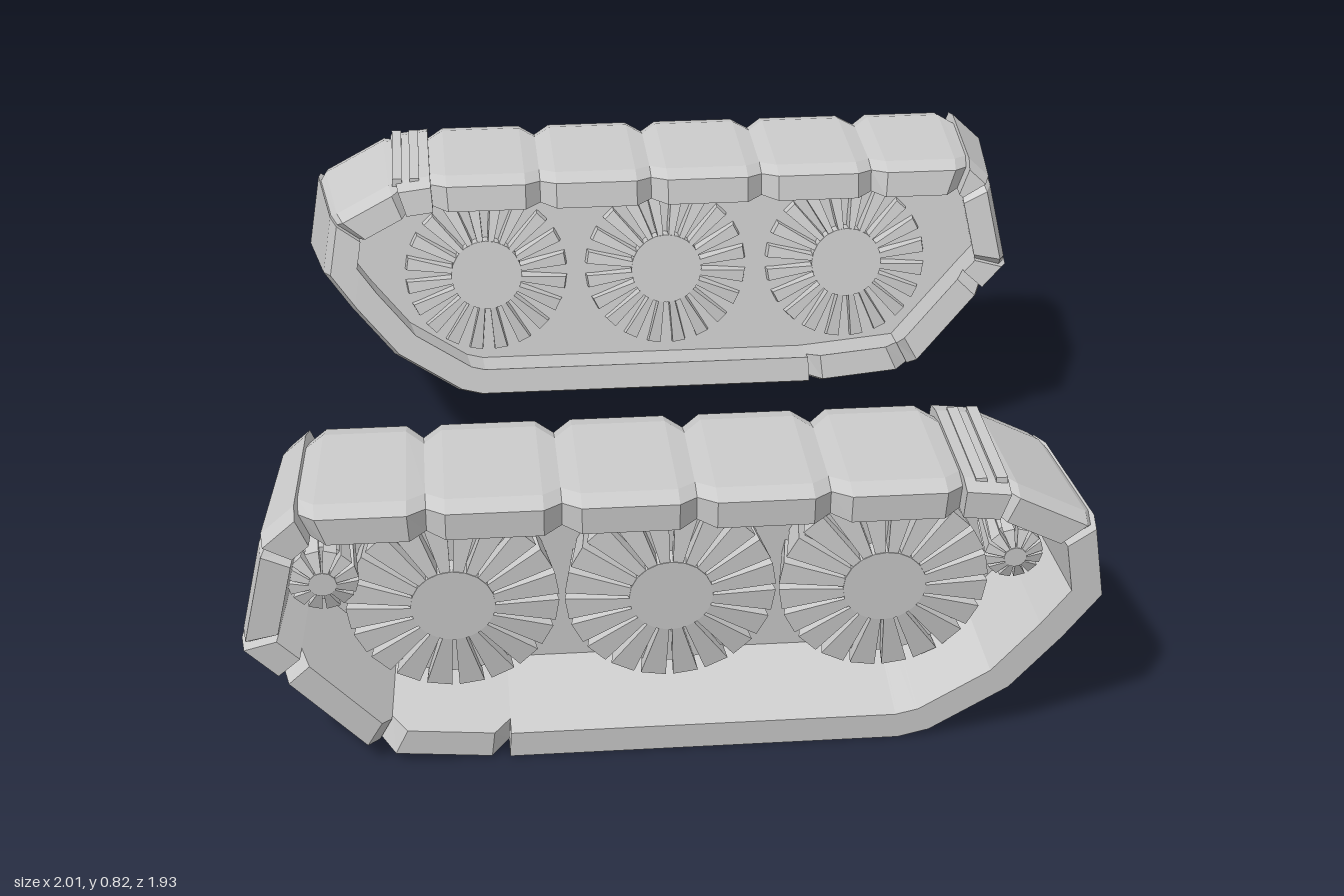
import * as THREE from 'three';

const mat = new THREE.MeshStandardMaterial({ color: 0xcccccc, flatShading: true, side: THREE.DoubleSide });
const HALF = 0.212, THICK = 0.066, BEVEL = 0.012, FLARE = 0.13, MID = 0.3415;

// Track outline on the outer face: x, y, and the corner cut of the plate starting here
const outline = [
  [-1.0, 0.33, 0.028], [-0.942, 0.602, 0], [-0.87, 0.669, 0.045], [-0.595, 0.669, 0.045], [-0.305, 0.669, 0.045],
  [-0.015, 0.669, 0.045], [0.275, 0.669, 0.045], [0.562, 0.669, 0], [0.66, 0.657, 0.025], [0.855, 0.555, 0],
  [0.885, 0.375, 0], [0.806, 0.262, 0], [0.695, 0.125, 0], [0.52, 0.012, 0], [0.45, -0.006, 0],
  [0.17, -0.006, 0], [-0.12, -0.006, 0], [-0.43, -0.006, 0.045], [-0.725, 0.022, 0.035], [-0.93, 0.255, 0],
].map(([x, y, notch]) => ({ p: new THREE.Vector2(x, y - MID), notch }));

const at = (i) => outline[(i + outline.length) % outline.length].p;

// Inward normal of one outline edge, and the mitred offset direction of one corner
function edgeNormal(i) {
  const d = at(i + 1).clone().sub(at(i)).normalize();
  return new THREE.Vector2(d.y, -d.x);
}
function mitre(i) {
  const a = edgeNormal(i - 1), b = edgeNormal(i);
  return a.clone().add(b).divideScalar(1 + a.dot(b));
}
const inset = (i, depth) => at(i).clone().addScaledVector(mitre(i), depth);

function addMesh(parent, geometry, name) {
  const m = new THREE.Mesh(geometry, mat);
  m.name = name;
  parent.add(m);
  return m;
}

// Surface through a row of equal cross-section rings, with both ends closed
function loft(rings) {
  const n = rings[0].length, pos = rings.flat(2), idx = [];
  for (let r = 0; r < rings.length - 1; r++)
    for (let k = 0; k < n; k++) {
      const a = r * n + k, b = r * n + (k + 1) % n;
      idx.push(a, b, a + n, b, b + n, a + n);
    }
  const e = (rings.length - 1) * n;
  for (let k = 1; k < n - 1; k++) idx.push(0, k + 1, k, e, e + k, e + k + 1);
  const g = new THREE.BufferGeometry();
  g.setAttribute('position', new THREE.Float32BufferAttribute(pos, 3));
  g.setIndex(idx);
  const flat = g.toNonIndexed();
  flat.computeVertexNormals();
  return flat;
}

// One plate: bevelled across its width, corners cut back at the joints when notched
function plateGeometry(i, notch) {
  const cut = notch ? notch * 0.9 / at(i).distanceTo(at(i + 1)) : 0.1;
  const rings = [0, cut, 1 - cut, 1].map((t) => {
    const end = t === 0 || t === 1;
    const w = end ? HALF - notch : HALF, drop = end ? notch * 0.2 : 0;
    const section = [
      [-w, THICK], [w, THICK], [w, drop],
      [w - 0.05, drop - BEVEL], [-w + 0.05, drop - BEVEL], [-w, drop],
    ];
    return section.map(([z, d]) => {
      const depth = d + FLARE * (HALF - z);
      const q = inset(i, depth).lerp(inset(i + 1, depth), t);
      return [q.x, q.y, z];
    });
  });
  return loft(rings);
}

// Wheel of radial fins on a drum, narrowing toward the inner side
function wheel(r, fins, zIn, zOut, name) {
  const g = new THREE.Group();
  g.name = name;
  const len = zOut - zIn, mid = (zIn + zOut) / 2;
  const drum = new THREE.CylinderGeometry(r * 0.92, r * 0.8, len * 0.5, fins * 2);
  addMesh(g, drum.rotateX(Math.PI / 2).translate(0, 0, mid), 'wheelDrum');
  const hub = new THREE.CylinderGeometry(r * 0.4, r * 0.4, len, fins);
  addMesh(g, hub.rotateX(Math.PI / 2).translate(0, 0, mid), 'wheelHub');
  const fin = new THREE.BoxGeometry(1, 1, 1), p = fin.attributes.position;
  for (let k = 0; k < p.count; k++) {
    const rim = p.getX(k) > 0, outer = p.getZ(k) > 0;
    const radius = rim ? r * (outer ? 1 : 0.9) : r * 0.32;
    const width = radius * (Math.PI * 2 / fins) * (outer ? 0.78 : 0.5);
    const z = outer ? zOut - (rim ? len * 0.1 : 0) : zIn + (rim ? len * 0.1 : 0);
    p.setXYZ(k, radius, p.getY(k) * width, z);
  }
  for (let k = 0; k < fins; k++)
    addMesh(g, fin, 'wheelFin').rotation.z = (k + 0.5) * Math.PI * 2 / fins;
  return g;
}

function track(name) {
  const g = new THREE.Group();
  g.name = name;

  // Belt of plates
  outline.forEach((o, i) => addMesh(g, plateGeometry(i, o.notch), 'trackPlate'));

  // Web panel closing the middle of the loop
  const shape = new THREE.Shape(outline.map((o, i) => inset(i, 0.08)));
  const web = new THREE.ExtrudeGeometry(shape, { depth: 0.015, bevelEnabled: false });
  addMesh(g, web.translate(0, 0, -0.04), 'webPanel');

  // Road wheels and the two small end wheels
  for (const x of [-0.545, -0.06, 0.42]) {
    const w = wheel(0.235, 20, -0.08, 0.095, 'roadWheel');
    w.position.set(x, -0.006, 0);
    g.add(w);
  }
  for (const [x, y, r] of [[-0.825, 0.103, 0.077], [0.7, 0.093, 0.064]]) {
    const w = wheel(r, 12, -0.03, 0.14, 'endWheel');
    w.position.set(x, y, 0);
    g.add(w);
  }

  // Low ribs across the shoulder plate
  for (const x of [0.6, 0.645]) {
    const rib = addMesh(g, new THREE.BoxGeometry(0.025, 0.02, 0.35), 'shoulderRib');
    rib.position.set(x, 0.302, 0);
    rib.rotation.x = -FLARE;
  }
  return g;
}

export function createModel() {
  const model = new THREE.Group();
  model.name = 'trackPair';
  // The second track is the first turned half around and set higher
  for (const [name, turn, lift] of [['frontTrack', 0, 0], ['backTrack', Math.PI, 0.14]]) {
    const side = new THREE.Group();
    side.name = name + 'Mount';
    const t = track(name);
    t.position.set(0, 0.3675 + lift, 0.715);
    t.rotation.x = 0.125;
    side.add(t);
    side.rotation.y = turn;
    model.add(side);
  }
  return model;
}
